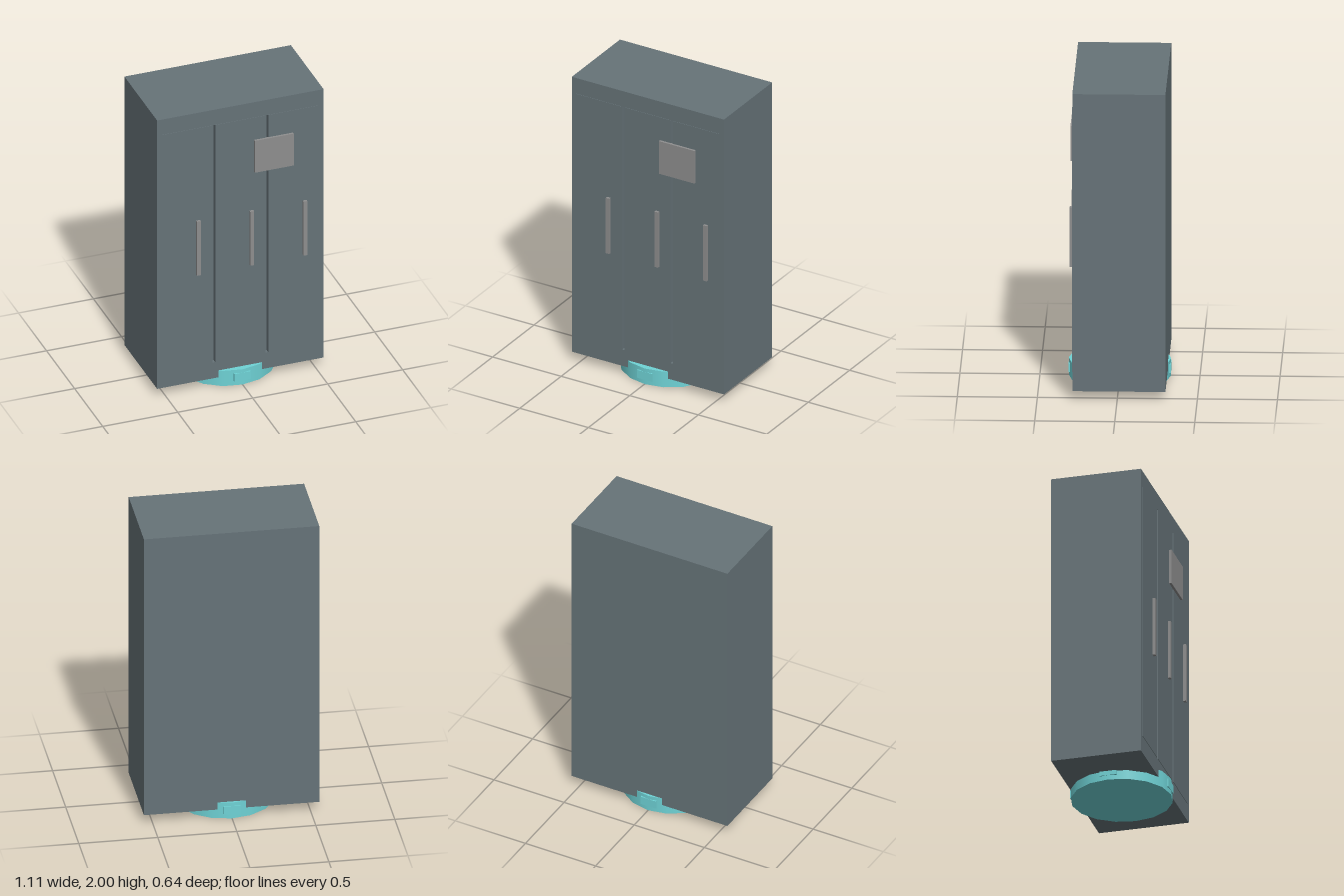
import * as THREE from 'three';

const material = (color) => new THREE.MeshStandardMaterial({ color });

export function createModel() {
  const model = new THREE.Group();
  const bodyMat = material(0x667378);
  const trimMat = material(0x8e8e8e);
  const baseMat = material(0x6fd3d6);

  const add = (name, geometry, mat, x, y, z) => {
    const mesh = new THREE.Mesh(geometry, mat);
    mesh.name = name;
    mesh.position.set(x, y, z);
    model.add(mesh);
    return mesh;
  };
  // Box given by its limits on each axis
  const addBox = (name, mat, [x0, x1], [y0, y1], [z0, z1]) =>
    add(name, new THREE.BoxGeometry(x1 - x0, y1 - y0, z1 - z0), mat,
      (x0 + x1) / 2, (y0 + y1) / 2, (z0 + z1) / 2);

  const rect = (Type, x0, x1, y0, y1) => {
    const r = new Type();
    r.moveTo(x0, y0);
    r.lineTo(x1, y0);
    r.lineTo(x1, y1);
    r.lineTo(x0, y1);
    r.closePath();
    return r;
  };

  // Cabinet: solid back, front slab with two door grooves cut through it
  const W = 0.555, bottom = 0.06, top = 2, front = 0.28, back = -0.302, grooveDepth = 0.03;
  const doorY = [0.175, 1.89];
  addBox('cabinetBody', bodyMat, [-W, W], [bottom, top], [back, front - grooveDepth]);
  const slab = rect(THREE.Shape, -W, W, bottom, top);
  for (const x of [-0.178, 0.175]) {
    slab.holes.push(rect(THREE.Path, x - 0.01, x + 0.01, ...doorY));
  }
  add('cabinetFront', new THREE.ExtrudeGeometry(slab, { depth: grooveDepth, bevelEnabled: false }),
    bodyMat, 0, 0, front - grooveDepth);

  // Three doors, barely proud of the front
  for (const span of [[-0.52, -0.188], [-0.168, 0.165], [0.185, 0.52]]) {
    addBox('door', bodyMat, span, doorY, [front - 0.01, front + 0.003]);
  }

  // Door handles
  for (const x of [-0.283, 0.072, 0.427]) {
    addBox('handle', trimMat, [x - 0.013, x + 0.013], [0.835, 1.225], [front, 0.3]);
  }

  // Notice plate
  addBox('plate', trimMat, [0.09, 0.35], [1.5, 1.73], [front, 0.298]);

  // Round base with a small tab on each side
  add('base', new THREE.CylinderGeometry(0.32, 0.32, 0.11, 16), baseMat, 0, 0.055, 0);
  for (let i = 0; i < 4; i++) {
    const a = (i * Math.PI) / 2;
    const tab = add('baseTab', new THREE.BoxGeometry(0.11, 0.055, 0.04), baseMat,
      Math.sin(a) * 0.3, 0.058, Math.cos(a) * 0.3);
    tab.rotation.y = a;
  }

  return model;
}
